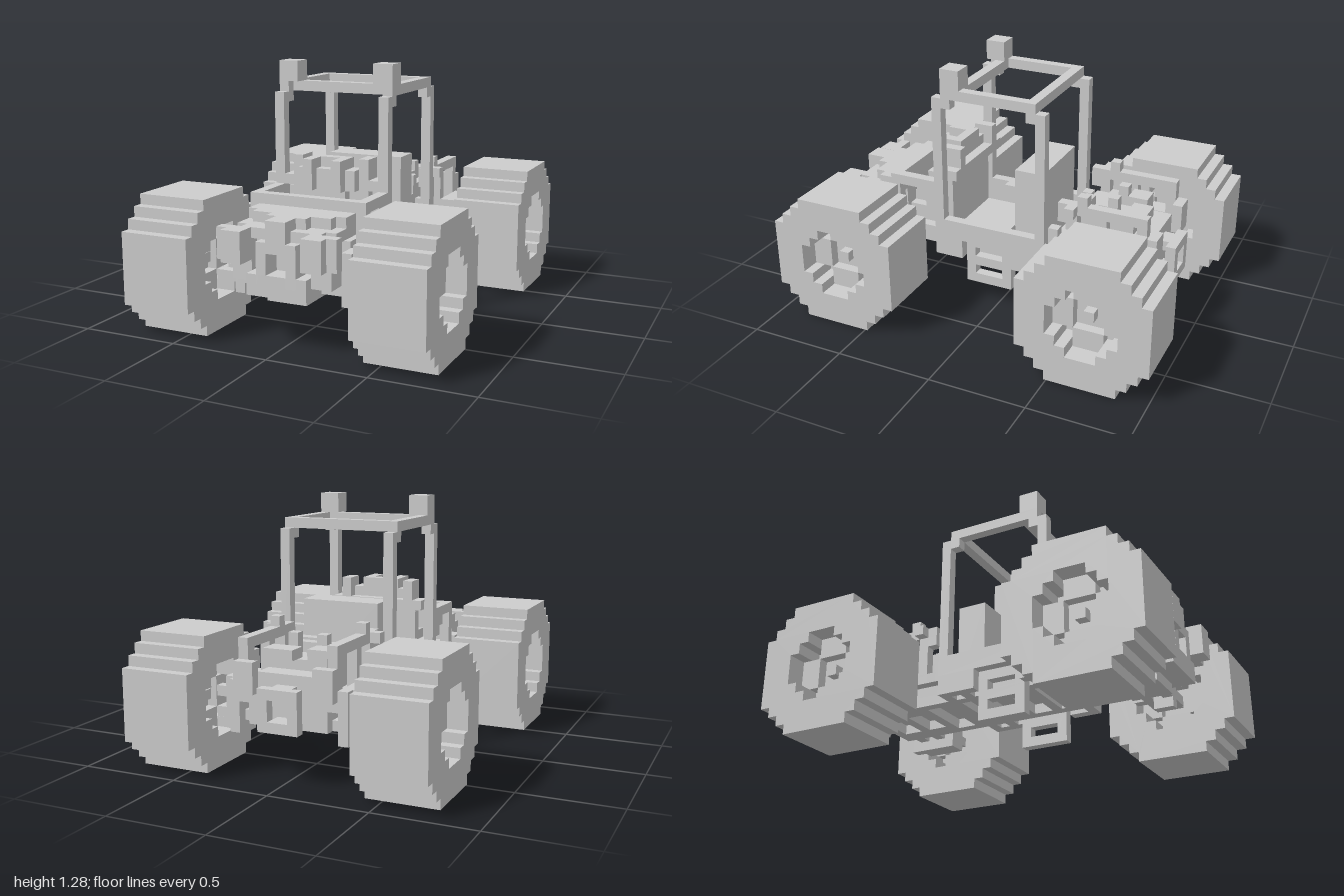
import * as THREE from 'three';

const U = 2 / 39; // size of one cube
const grey = new THREE.MeshStandardMaterial({ color: 0xcccccc });
grey.name = 'grey';

// Box between two corners, measured in cubes
function box(parent, name, x0, x1, y0, y1, z0, z1) {
  const m = new THREE.Mesh(new THREE.BoxGeometry(x1 - x0, y1 - y0, z1 - z0), grey);
  m.position.set((x0 + x1) / 2, (y0 + y1) / 2, (z0 + z1) / 2);
  m.name = name;
  parent.add(m);
}
// Same box on both sides
function pair(parent, name, x0, x1, ...r) {
  box(parent, name + 'Left', x0, x1, ...r);
  box(parent, name + 'Right', -x1, -x0, ...r);
}

// Round outline made of steps: flat half-width and number of one-cube steps
function steppedLoop(flat, steps) {
  const quarter = [];
  for (let i = 0; i <= steps; i++) {
    quarter.push([flat + steps - i, flat + i]);
    if (i < steps) quarter.push([flat + steps - i - 1, flat + i]);
  }
  const pts = [];
  for (let q = 0; q < 4; q++) {
    for (const [a, b] of quarter) {
      pts.push([new THREE.Vector2(a, b), new THREE.Vector2(-b, a),
        new THREE.Vector2(-a, -b), new THREE.Vector2(b, -a)][q]);
    }
  }
  return pts;
}

function stepDisc(name, outer, inner, depth) {
  const shape = new THREE.Shape(outer);
  if (inner) shape.holes.push(new THREE.Path(inner));
  const g = new THREE.ExtrudeGeometry(shape, { depth, bevelEnabled: false });
  g.translate(0, 0, -depth / 2);
  g.rotateY(Math.PI / 2);
  const m = new THREE.Mesh(g, grey);
  m.name = name;
  return m;
}

function makeWheel() {
  const w = new THREE.Group();
  w.add(stepDisc('tyre', steppedLoop(3.5, 3), steppedLoop(1.5, 2), 7));
  w.add(stepDisc('rimDisc', steppedLoop(1.5, 2), null, 1));
  // Stub spokes and hub on both faces
  for (const s of [-1, 1]) {
    const face = new THREE.Group();
    face.name = 'rimFace';
    for (const a of [-3.5, 1.5]) {
      box(face, 'spoke', 0.5, 1.5, -1.5, 1.5, a, a + 2);
      box(face, 'spoke', 0.5, 1.5, a, a + 2, -1.5, 1.5);
    }
    box(face, 'hub', 0.5, 1.5, -0.5, 0.5, -0.5, 0.5);
    if (s < 0) face.rotation.y = Math.PI;
    w.add(face);
  }
  return w;
}

export function createModel() {
  const model = new THREE.Group();
  const g = new THREE.Group();
  g.scale.setScalar(U);
  model.add(g);

  // Wheels, axle stubs and suspension arms
  for (const z of [-13, 13]) {
    for (const x of [-11.5, 11.5]) {
      const w = makeWheel();
      w.name = (z > 0 ? 'front' : 'rear') + (x > 0 ? 'Left' : 'Right') + 'Wheel';
      w.position.set(x, 6.5, z);
      g.add(w);
    }
    for (const dz of [-1, 1]) {
      for (const y of [5, 7]) pair(g, 'suspensionArm', 3, 8, y, y + 1, z + dz - 0.5, z + dz + 0.5);
    }
  }

  // Chassis: sills notched for the steps, ladder floor
  pair(g, 'sill', 5, 6, 7, 9, -5.5, 6.5);
  pair(g, 'sillRear', 5, 6, 5, 7, -5.5, -1.5);
  pair(g, 'sillFront', 5, 6, 5, 7, 3.5, 6.5);
  pair(g, 'innerSill', 4, 5, 7, 9, -1.5, 3.5);
  pair(g, 'chassisRail', 3, 4, 5, 6, -10.5, 10.5);
  box(g, 'floor', -4, 4, 6, 7, -5.5, 6.5);
  for (let z = -9.5; z < 10; z += 3) box(g, 'floorSlat', -3, 3, 5, 6, z, z + 1);
  for (const z of [-5.5, -3.5, 5.5]) box(g, 'crossMember', -6, 6, 5, 6, z, z + 1);

  // Steps with two slots
  for (const z of [-1.5, 2.5]) pair(g, 'stepSide', 4, 5, 2, 7, z, z + 1);
  for (const y of [2, 4, 6]) pair(g, 'stepRung', 4, 5, y, y + 1, -1.5, 3.5);

  // Seat
  box(g, 'seatBack', -4, 4, 6, 15, -4.5, -1.5);

  // Roll cage with roof lamps
  pair(g, 'cageFrontPost', 5, 6, 7, 22, 5.5, 6.5);
  pair(g, 'cageRearPost', 5, 6, 7, 22, -5.5, -4.5);
  pair(g, 'cageCorner', 5, 6, 21, 22, 4.5, 5.5);
  pair(g, 'cageCorner', 5, 6, 21, 22, -4.5, -3.5);
  pair(g, 'cageTopRail', 5, 6, 22, 23, -4.5, 5.5);
  box(g, 'cageRearBar', -5, 5, 22, 23, -4.5, -3.5);
  box(g, 'cageFrontBar', -5, 5, 22, 23, 3.5, 4.5);
  pair(g, 'roofLamp', 4, 6, 23, 25, 3.5, 5.5);

  // Dashboard with knobs and controls
  box(g, 'dashboard', -5, 5, 13, 14, 4.5, 6.5);
  box(g, 'dashCentre', -2, 2, 12, 15, 5.5, 7.5);
  box(g, 'dashTop', -2, 2, 15, 16, 5.5, 6.5);
  pair(g, 'dashKnob', 3, 4, 13, 16, 4.5, 6.5);
  pair(g, 'dashLever', 2, 3, 13, 15, 5.5, 7.5);
  pair(g, 'dashPipe', 1, 2, 13, 16, 6.5, 8.5);
  box(g, 'dashPanel', -4, 4, 7, 13, 5.5, 6.5);

  // Front bay: engine, side rails and bulkhead
  box(g, 'frontEngine', -3, 3, 6, 10, 6.5, 10.5);
  pair(g, 'frontEngineSide', 3, 4, 5, 9, 6.5, 10.5);
  pair(g, 'frontEnginePipe', 1, 2, 10, 12, 7.5, 9.5);
  pair(g, 'frontSideRail', 5, 6, 12, 13, 6.5, 10.5);
  pair(g, 'frontSideBrace', 5, 6, 11, 12, 6.5, 8.5);
  pair(g, 'frontBraceFoot', 5, 6, 10, 11, 6.5, 7.5);
  pair(g, 'frontLowerRail', 5, 6, 7, 8, 6.5, 10.5);
  box(g, 'frontBulkhead', -6, 6, 12, 13, 10.5, 11.5);
  pair(g, 'bulkheadPost', 5, 6, 5, 12, 10.5, 11.5);

  // Nose: wedge of stepped plates, with a square grille ring
  for (const [i, half] of [5, 5, 4, 2].entries()) {
    box(g, 'hoodWedge', -half, half, 11, 12, 11.5 + i, 12.5 + i);
  }
  box(g, 'hoodRidge', -1, 1, 10, 12, 15.5, 17.5);
  box(g, 'hoodPlate', -5, 5, 10, 11, 11.5, 15.5);
  box(g, 'hoodTip', -4, 4, 10, 11, 15.5, 16.5);
  box(g, 'noseCore', -3, 3, 5, 10, 11.5, 15.5);
  box(g, 'noseSkid', -2, 2, 4, 5, 11.5, 15.5);
  pair(g, 'grilleSide', 1, 2, 6, 10, 15.5, 17.5);
  box(g, 'grilleTop', -1, 1, 9, 10, 15.5, 17.5);
  box(g, 'grilleBottom', -3, 3, 5, 7, 15.5, 17.5);
  pair(g, 'noseCheek', 3, 5, 6, 10, 14.5, 16.5);
  pair(g, 'headlamp', 3, 5, 8, 11, 16.5, 18.5);
  pair(g, 'headlampSide', 5, 6, 8, 11, 16.5, 17.5);
  pair(g, 'noseBracket', 5, 6, 4, 9, 12.5, 14.5);

  // Rear bay: open side frames and engine
  pair(g, 'rearSideTopRail', 4, 5, 12, 13, -15.5, -6.5);
  pair(g, 'rearSideBrace', 4, 5, 11, 12, -8.5, -6.5);
  pair(g, 'rearSideLowRail', 4, 5, 7, 8, -15.5, -5.5);
  for (const z of [-15.5, -11.5, -8.5]) pair(g, 'rearSidePost', 4, 5, 7, 13, z, z + 1);
  pair(g, 'rearRailLink', 5, 6, 12, 13, -8.5, -7.5);
  pair(g, 'rearRailKnob', 4, 5, 13, 14, -9.5, -8.5);
  pair(g, 'rearBraceFoot', 4, 5, 7, 10, -6.5, -5.5);
  box(g, 'rearEngine', -3, 3, 7, 10, -15.5, -6.5);
  box(g, 'rearDeck', -4, 4, 6, 8, -15.5, -5.5);
  pair(g, 'rearUnderRail', 2, 4, 5, 6, -15.5, -9.5);
  for (const z of [-15.5, -12.5]) box(g, 'rearUnderSlat', -2, 2, 5, 6, z, z + 1);
  box(g, 'engineCover', -3, 3, 10, 11, -13.5, -7.5);
  box(g, 'engineBlock', 0, 3, 11, 12, -14.5, -12.5);
  box(g, 'engineBlock', -3, -1, 11, 12, -13.5, -11.5);
  box(g, 'enginePipe', -2, 2, 11, 12, -10.5, -9.5);
  box(g, 'enginePipe', 0, 3, 11, 12, -8.5, -7.5);
  pair(g, 'engineValve', 1, 2, 11, 13, -11.5, -10.5);

  // Rear hubs, tail lamps and hitch ring
  pair(g, 'rearBodySide', 5, 6, 4, 9, -15.5, -10.5);
  pair(g, 'rearHubPlate', 6, 7, 4, 9, -14.5, -10.5);
  pair(g, 'tailLamp', 3, 5, 8, 11, -16.5, -15.5);
  box(g, 'hitchStem', -1, 1, 5, 6, -16.5, -15.5);
  box(g, 'hitchStem', -1, 1, 8, 9, -16.5, -15.5);
  pair(g, 'hitchSide', 1, 2, 5, 9, -17.5, -16.5);
  box(g, 'hitchTop', -1, 1, 8, 9, -17.5, -16.5);
  box(g, 'hitchBottom', -1, 1, 5, 6, -17.5, -16.5);
  return model;
}
